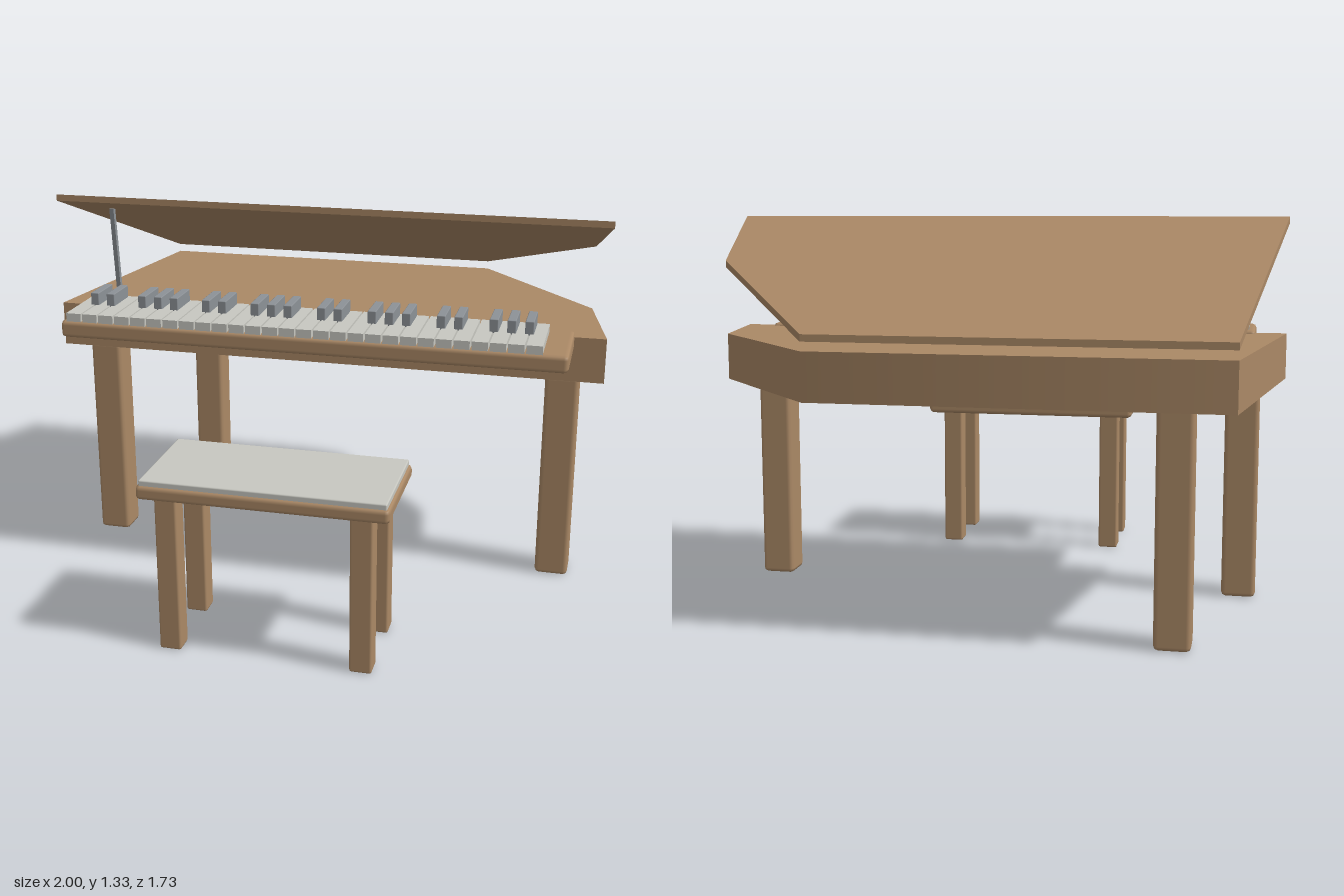
import * as THREE from 'three';
import { toCreasedNormals } from 'three/addons/utils/BufferGeometryUtils.js';
import { RoundedBoxGeometry } from 'three/addons/geometries/RoundedBoxGeometry.js';

const mat = (name, color) => {
  const m = new THREE.MeshStandardMaterial({ color });
  m.name = name;
  return m;
};

export function createModel() {
  const wood = mat('wood', 0xab8966);
  const ivory = mat('ivory', 0xc8c8c1);
  const steel = mat('grey', 0x8d9297);

  const model = new THREE.Group();
  model.name = 'pianoWithBench';
  const group = (name) => {
    const g = new THREE.Group();
    g.name = name;
    model.add(g);
    return g;
  };
  const add = (parent, name, geometry, material) => {
    const mesh = new THREE.Mesh(geometry, material);
    mesh.name = name;
    parent.add(mesh);
    return mesh;
  };

  // Box given by its min and max corners; r > 0 chamfers the edges
  const block = (parent, name, material, [x0, y0, z0], [x1, y1, z1], r = 0) => {
    const size = [x1 - x0, y1 - y0, z1 - z0];
    const geo = r ? new RoundedBoxGeometry(...size, 1, r) : new THREE.BoxGeometry(...size);
    geo.translate((x0 + x1) / 2, (y0 + y1) / 2, (z0 + z1) / 2);
    return add(parent, name, geo, material);
  };
  const leg = (parent, name, x, z, w, top, r) =>
    block(parent, name, wood, [x - w / 2, 0, z - w / 2], [x + w / 2, top, z + w / 2], r);

  // Plan outline shared by case and lid, as (x, z)
  const outline = [[-1, 0.035], [1, 0.035], [0.93, -0.35], [0.48, -0.865], [-0.855, -0.865]];
  const slab = (height) => {
    const shape = new THREE.Shape(outline.map(([x, z]) => new THREE.Vector2(x, -z)));
    return new THREE.ExtrudeGeometry(shape, { depth: height, bevelEnabled: false }).rotateX(-Math.PI / 2);
  };

  // Case
  const piano = group('piano');
  add(piano, 'case', toCreasedNormals(slab(0.16).translate(0, 0.765, 0), 0.9), wood);

  // Raised lid: same slab sheared upwards towards the front
  const lidGeo = slab(0.023);
  const p = lidGeo.attributes.position;
  for (let i = 0; i < p.count; i++) {
    p.setY(i, p.getY(i) + 0.955 + (p.getZ(i) + 0.865) * 0.395);
  }
  lidGeo.computeVertexNormals();
  add(piano, 'lid', lidGeo, wood);

  // Lid prop, leaning forward
  const propLength = 0.35;
  const prop = add(piano, 'lidProp', new THREE.BoxGeometry(0.016, propLength, 0.018), steel);
  prop.position.set(-0.83, 1.095, -0.091);
  prop.rotation.x = 0.105;

  // Piano legs
  leg(piano, 'frontLegLeft', 0.855, -0.055, 0.118, 0.768, 0.016);
  leg(piano, 'frontLegRight', -0.855, -0.055, 0.118, 0.768, 0.016);
  leg(piano, 'rearLeg', -0.668, -0.7, 0.118, 0.768, 0.016);

  // Key bed
  block(piano, 'keyBed', wood, [-0.893, 0.875, -0.015], [0.89, 0.937, 0.303], 0.016);

  // Keys: four octaves, with black keys on the usual boundaries
  const keys = group('keyboard');
  const start = -0.873, pitch = 0.06;
  for (let i = 0; i < 28; i++) {
    const x = start + i * pitch;
    block(keys, 'whiteKey', ivory, [x + 0.003, 0.935, 0.03], [x + pitch - 0.003, 0.965, 0.297]);
    if ([1, 2, 4, 5, 6].includes(i % 7)) {
      block(keys, 'blackKey', steel, [x - 0.015, 0.96, 0.036], [x + 0.015, 1.009, 0.17], 0.003);
    }
  }

  // Bench
  const bench = group('bench');
  block(bench, 'benchSeat', wood, [-0.412, 0.536, 0.468], [0.412, 0.586, 0.865], 0.016);
  block(bench, 'benchCushion', ivory, [-0.402, 0.575, 0.477], [0.402, 0.602, 0.855], 0.005);
  for (const x of [-0.32, 0.32]) {
    for (const z of [0.537, 0.806]) leg(bench, 'benchLeg', x, z, 0.074, 0.542, 0.008);
  }

  return model;
}
